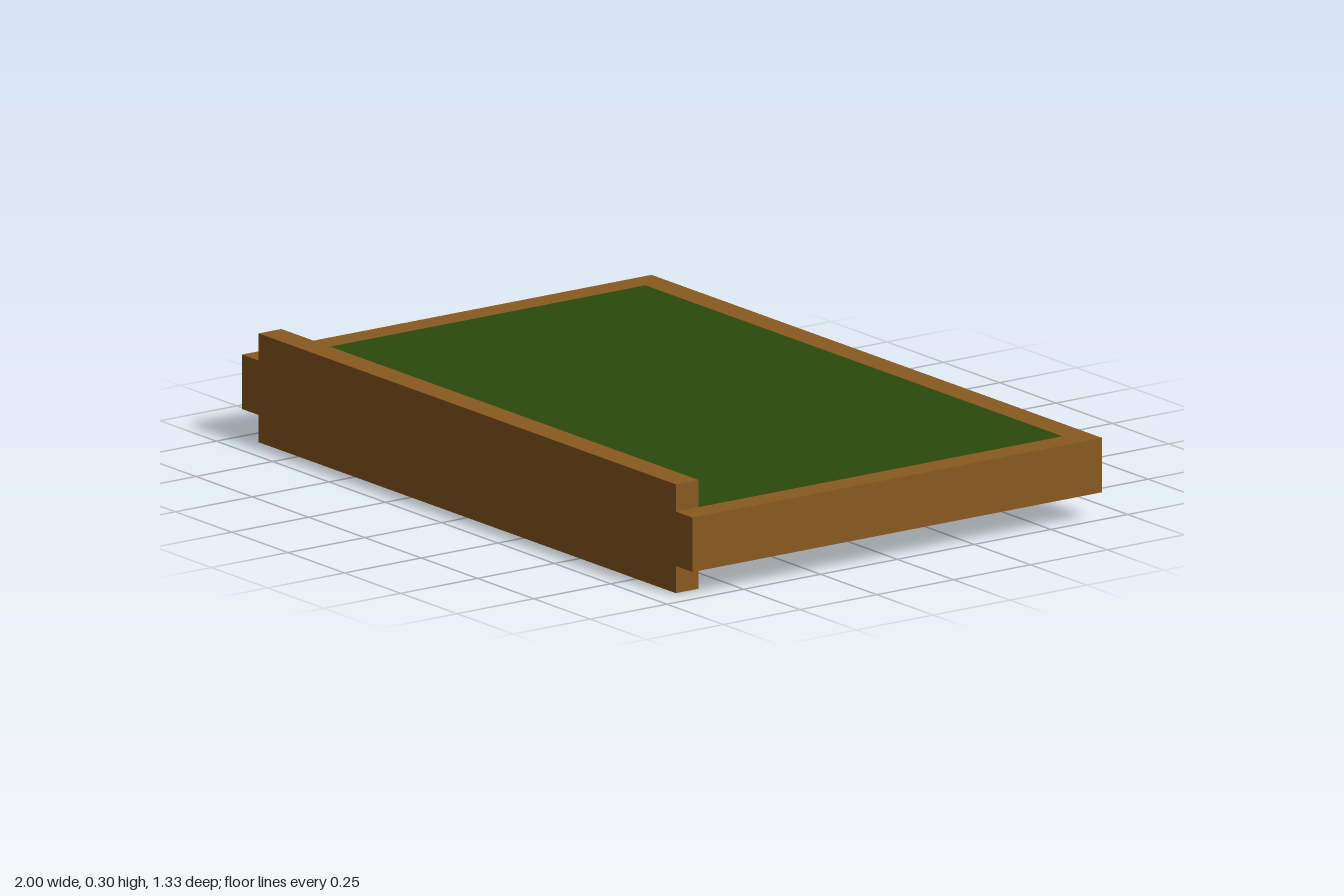
import * as THREE from 'three';

export function createModel() {
  const model = new THREE.Group();
  const mat = (name, color) => new THREE.MeshStandardMaterial({ name, color });
  const wood = mat('brown wood', 0x8a5a20);
  const green = mat('board green', 0x2c4a0c);
  const chalk = mat('chalk grey', 0xd0d0d0);

  // the whole piece is laid out on a 27 x 4 x 18 unit lattice
  const U = 2 / 27;
  const box = (name, material, w, h, d, x, y, z, parent = model) => {
    const mesh = new THREE.Mesh(new THREE.BoxGeometry(w, h, d), material);
    mesh.name = name;
    mesh.position.set(x, y, z);
    parent.add(mesh);
    return mesh;
  };

  // frame: two side rails, a back rail and the taller front ledge
  for (const s of [1, -1]) {
    box(s > 0 ? 'leftRail' : 'rightRail', wood, U, 2 * U, 18 * U, s * 13 * U, 2 * U, 0);
  }
  box('backRail', wood, 25 * U, 2 * U, U, 0, 2 * U, -8.5 * U);
  box('frontLedge', wood, 25 * U, 4 * U, U, 0, 2 * U, 8.5 * U);

  // writing surface, flush with the rails
  box('board', green, 25 * U, 2 * U, 16 * U, 0, 2 * U, 0);

  // chalk face drawn on the underside: [column, row, columns, rows] on a 32 x 32 grid
  const drawing = new THREE.Group();
  drawing.name = 'chalkDrawing';
  model.add(drawing);
  const cw = 25 * U / 32, ch = 16 * U / 32;
  const strokes = [
    [6, 16, 9, 1], [6, 30, 9, 1], // top and bottom of the outline
    [4, 19, 1, 9], [16, 19, 1, 9], // sides
    [5, 17, 1, 2], [15, 17, 1, 2], [5, 28, 1, 2], [15, 28, 1, 2], // corners
    [8, 20, 1, 4], [12, 20, 1, 4], // eyes
    [8, 27, 5, 1], [13, 25, 1, 2], // crooked smile
  ];
  for (const [c, r, w, h] of strokes) {
    box('chalkStroke', chalk, w * cw, 0.003, h * ch,
      12.5 * U - (c + w / 2) * cw, U - 0.0015, -8 * U + (r + h / 2) * ch, drawing);
  }
  return model;
}
